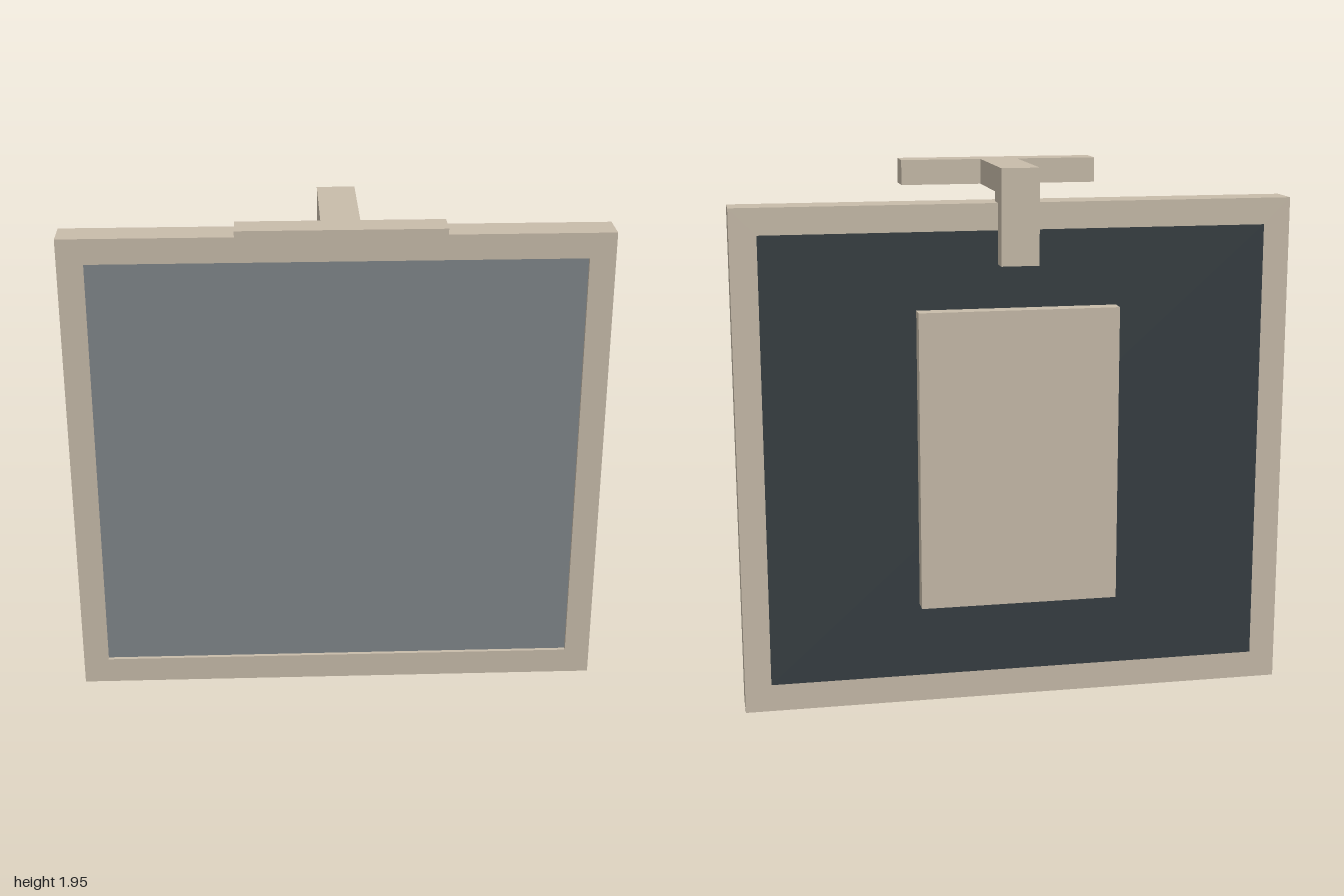
import * as THREE from 'three';

export function createModel() {
  const model = new THREE.Group();
  model.name = 'framedPanel';

  const material = (name, color) => {
    const m = new THREE.MeshStandardMaterial({ color });
    m.name = name;
    return m;
  };
  const beige = material('beige frame', 0xc8bcaa);
  const grey = material('grey glass', 0x7f868a);
  const dark = material('dark backing', 0x363e42);

  // Box given by its minimum and maximum on each axis
  const box = (name, mat, [x0, x1], [y0, y1], [z0, z1], parent = model) => {
    const geometry = new THREE.BoxGeometry(x1 - x0, y1 - y0, z1 - z0);
    geometry.translate((x0 + x1) / 2, (y0 + y1) / 2, (z0 + z1) / 2);
    const mesh = new THREE.Mesh(geometry, mat);
    mesh.name = name;
    parent.add(mesh);
    return mesh;
  };

  // Closed outline of straight segments
  const outline = (Type, points) => new Type(points.map(([x, y]) => new THREE.Vector2(x, y)));
  const extrude = (shape, depth) => new THREE.ExtrudeGeometry(shape, { depth, bevelEnabled: false });

  // Square frame with an opening
  const frameShape = outline(THREE.Shape, [[-1, 0], [1, 0], [1, 1.825], [-1, 1.825]]);
  frameShape.holes.push(outline(THREE.Path, [[-0.905, 0.1], [-0.905, 1.73], [0.905, 1.73], [0.905, 0.1]]));
  const frame = new THREE.Mesh(extrude(frameShape, 0.13).translate(0, 0, -0.2), beige);
  frame.name = 'frame';
  model.add(frame);

  // Recessed front panel and flush backing
  box('frontPanel', grey, [-0.905, 0.905], [0.1, 1.73], [-0.14, -0.085]);
  box('backPanel', dark, [-0.905, 0.905], [0.1, 1.73], [-0.2, -0.14]);

  // Raised plate on the back
  box('backPlate', beige, [-0.36, 0.36], [0.375, 1.455], [-0.26, -0.2]);

  // Hooked arm over the frame with a crossbar at the front
  const bracket = new THREE.Group();
  bracket.name = 'topBracket';
  model.add(bracket);
  const armShape = outline(THREE.Shape, [
    [-0.26, 1.61], [-0.2, 1.61], [-0.2, 1.825], [-0.14, 1.825],
    [-0.14, 1.86], [0.15, 1.86], [0.15, 1.95], [-0.26, 1.95],
  ]);
  const arm = new THREE.Mesh(extrude(armShape, 0.136).translate(0, 0, -0.068).rotateY(-Math.PI / 2), beige);
  arm.name = 'arm';
  bracket.add(arm);
  box('crossbar', beige, [-0.36, 0.36], [1.86, 1.95], [0.15, 0.26], bracket);

  return model;
}
